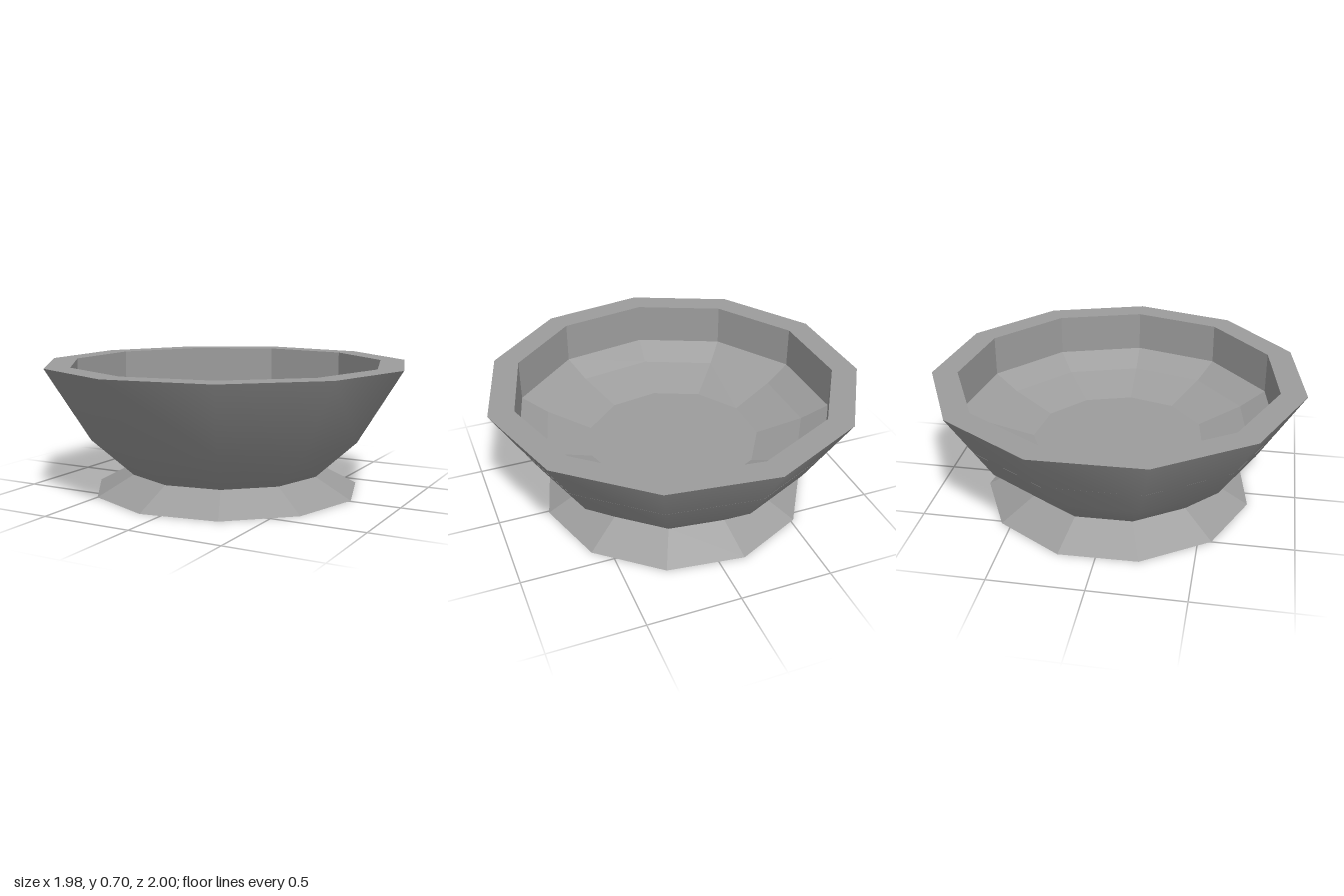
import * as THREE from 'three';

const SIDES = 11;
const START = THREE.MathUtils.degToRad(91); // one corner points almost along +x

// Eleven-sided ring surface from [radius, height] pairs
function ringPart(name, profile, flatShading) {
  const points = profile.map(([r, y]) => new THREE.Vector2(r, y));
  const geometry = new THREE.LatheGeometry(points, SIDES, START);
  const material = new THREE.MeshStandardMaterial({ color: 0x9d9d9d, flatShading });
  const mesh = new THREE.Mesh(geometry, material);
  mesh.name = name;
  return mesh;
}

export function createModel() {
  const bowl = new THREE.Group();
  bowl.name = 'bowl';

  // Flared foot with a closed underside
  bowl.add(ringPart('foot', [[0, 0], [0.744, 0], [0.542, 0.108]], true));

  // Smooth outer wall
  bowl.add(ringPart('outerWall', [[0.542, 0.108], [0.77, 0.315], [1.01, 0.705]], false));

  // Flat rim
  bowl.add(ringPart('rim', [[1.01, 0.705], [0.871, 0.705]], true));

  // Upright inner wall, its lower edge just meeting the outer wall
  bowl.add(ringPart('innerWall', [[0.871, 0.705], [0.871, 0.477]], true));

  // Shallow facets down to a flat floor
  bowl.add(ringPart('basin', [[0.871, 0.477], [0.725, 0.4], [0.477, 0.32], [0, 0.32]], true));

  // An odd-sided ring is off-centre in its bounds, so shift it back
  bowl.position.x = -0.021;

  const model = new THREE.Group();
  model.name = 'footedBowl';
  model.add(bowl);
  return model;
}
